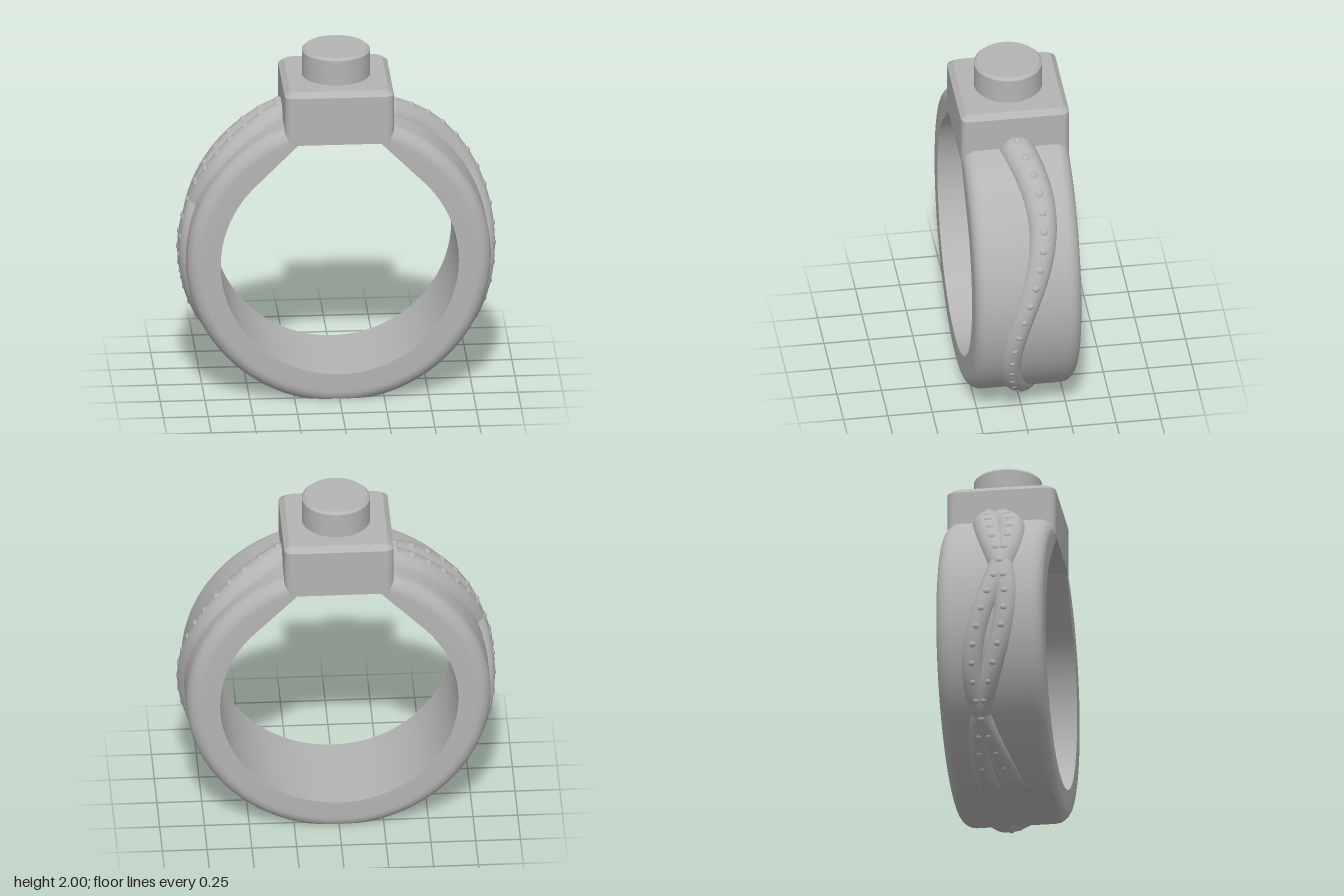
import * as THREE from 'three';
import { toCreasedNormals } from 'three/addons/utils/BufferGeometryUtils.js';

const CY = 0.82;          // height of the ring's centre
const OUTER = 0.85, INNER = 0.665, HALF = 0.3, FILLET = 0.08;
const rad = THREE.MathUtils.degToRad;
const smooth = THREE.MathUtils.smoothstep;

// Surface swept from cross-sections: f(i, j) gives a point, j wraps round
function loft(nu, nv, f) {
  const pos = [], idx = [];
  for (let i = 0; i < nu; i++)
    for (let j = 0; j < nv; j++) pos.push(...f(i, j).toArray());
  for (let i = 0; i < nu - 1; i++)
    for (let j = 0; j < nv; j++) {
      const k = (j + 1) % nv;
      const a = i * nv + j, b = a + nv, c = i * nv + k, d = c + nv;
      idx.push(a, b, c, b, d, c);
    }
  const g = new THREE.BufferGeometry();
  g.setAttribute('position', new THREE.Float32BufferAttribute(pos, 3));
  g.setIndex(idx);
  g.computeVertexNormals();
  return g;
}

// Band: rounded outer edges, straight shoulders inside, flat foot
function bandGeometry() {
  const N = 180, F = 10, from = 17;
  const section = [];                       // [outward offset from OUTER or null = inner, z]
  section.push([null, HALF]);
  for (let k = 0; k <= F; k++) {
    const a = (k / F) * Math.PI / 2;
    section.push([FILLET * (Math.sin(a) - 1), HALF - FILLET + FILLET * Math.cos(a)]);
  }
  for (const [o, z] of section.slice().reverse()) section.push([o, -z]);
  const g = loft(N + 1, section.length, (i, j) => {
    const t = from + (360 - 2 * from) * i / N;
    const top = Math.min(t, 360 - t);
    const inner = top < 45 ? INNER / Math.cos(rad(45 - top)) : INNER;
    const [o, z] = section[j];
    const r = o === null ? inner : OUTER + o;
    return new THREE.Vector3(r * Math.sin(rad(t)), Math.max(0, CY + r * Math.cos(rad(t))), z);
  });
  return toCreasedNormals(g, 0.22);
}

// Wavy strand on the band with a row of beads
function makeStrand(name, side, wave, width, material) {
  const group = new THREE.Group();
  group.name = name;
  const centre = (t, r = 0.82) =>
    new THREE.Vector3(side * r * Math.sin(rad(t)), CY + r * Math.cos(rad(t)), wave(t));
  const thickness = t => THREE.MathUtils.lerp(width, 0.064, smooth(t, 15, 100));
  const outward = t => new THREE.Vector3(side * Math.sin(rad(t)), Math.cos(rad(t)), 0);

  const N = 110, S = 24, from = 13, to = 164;
  const tube = loft(N + 1, S, (i, j) => {
    const t = from + (to - from) * i / N;
    const n = outward(t);
    const tangent = centre(t + 0.1).sub(centre(t - 0.1)).normalize();
    const across = n.clone().cross(tangent).normalize();
    const a = j / S * Math.PI * 2;
    const rho = thickness(t) * Math.sqrt(Math.min(1, i / 5));
    const p = centre(t).addScaledVector(n, rho * Math.cos(a)).addScaledVector(across, rho * Math.sin(a));
    p.y = Math.max(p.y, 0);
    return p;
  });
  const body = new THREE.Mesh(tube, material);
  body.name = name + 'Body';
  group.add(body);

  for (let t = 21; t < 156; t += 6.9) {
    const size = THREE.MathUtils.lerp(0.03, 0.019, smooth(t, 20, 155));
    const bead = new THREE.Mesh(new THREE.SphereGeometry(size, 14, 10), material);
    bead.name = 'bead';
    bead.position.copy(centre(t, 0.82 + thickness(t) - size * 0.7));
    group.add(bead);
  }
  return group;
}

// Square head with rounded corners and a chamfered top
function headGeometry() {
  const sections = [[1.53, 0], [1.53, 0.305], [1.81, 0.305], [1.84, 0.275], [1.84, 0]];
  const r = 0.045, K = 8;
  return toCreasedNormals(loft(sections.length, 4 * (K + 1), (i, j) => {
    const [y, half] = sections[i];
    const q = Math.floor(j / (K + 1)), k = j % (K + 1);
    const a = (q + k / K) * Math.PI / 2;
    const mid = (q + 0.5) * Math.PI / 2;
    const c = half ? half - r : 0, rr = half ? r : 0;
    return new THREE.Vector3(
      Math.sign(Math.cos(mid)) * c + rr * Math.cos(a), y,
      Math.sign(Math.sin(mid)) * c + rr * Math.sin(a));
  }), 0.5);
}

export function createModel() {
  const model = new THREE.Group();
  model.name = 'ring';
  const metal = new THREE.MeshStandardMaterial({ color: 0xb4b4b4 });
  metal.name = 'greyMetal';
  const add = (name, geometry) => {
    const mesh = new THREE.Mesh(geometry, metal);
    mesh.name = name;
    model.add(mesh);
  };

  add('band', bandGeometry());
  add('head', headGeometry());

  // Round stud on the head
  const profile = [[0.19, 1.82], [0.19, 1.985], [0.175, 2], [0, 2]].map(p => new THREE.Vector2(...p));
  add('stud', toCreasedNormals(new THREE.LatheGeometry(profile, 64), 0.5));

  // One strand on the left, two crossing strands on the right
  const swing = (t, zero) => Math.sin(rad((t - zero) * 2.88));
  const main = t => 0.097 * swing(t, 20);
  const crossing = t => (0.06 + 0.035 * smooth(t, 40, 80)) * swing(t, 53);
  model.add(makeStrand('leftStrand', 1, t => -main(t), 0.1, metal));
  model.add(makeStrand('rightStrand', -1, main, 0.095, metal));
  model.add(makeStrand('rightCrossingStrand', -1, crossing, 0.095, metal));
  return model;
}
